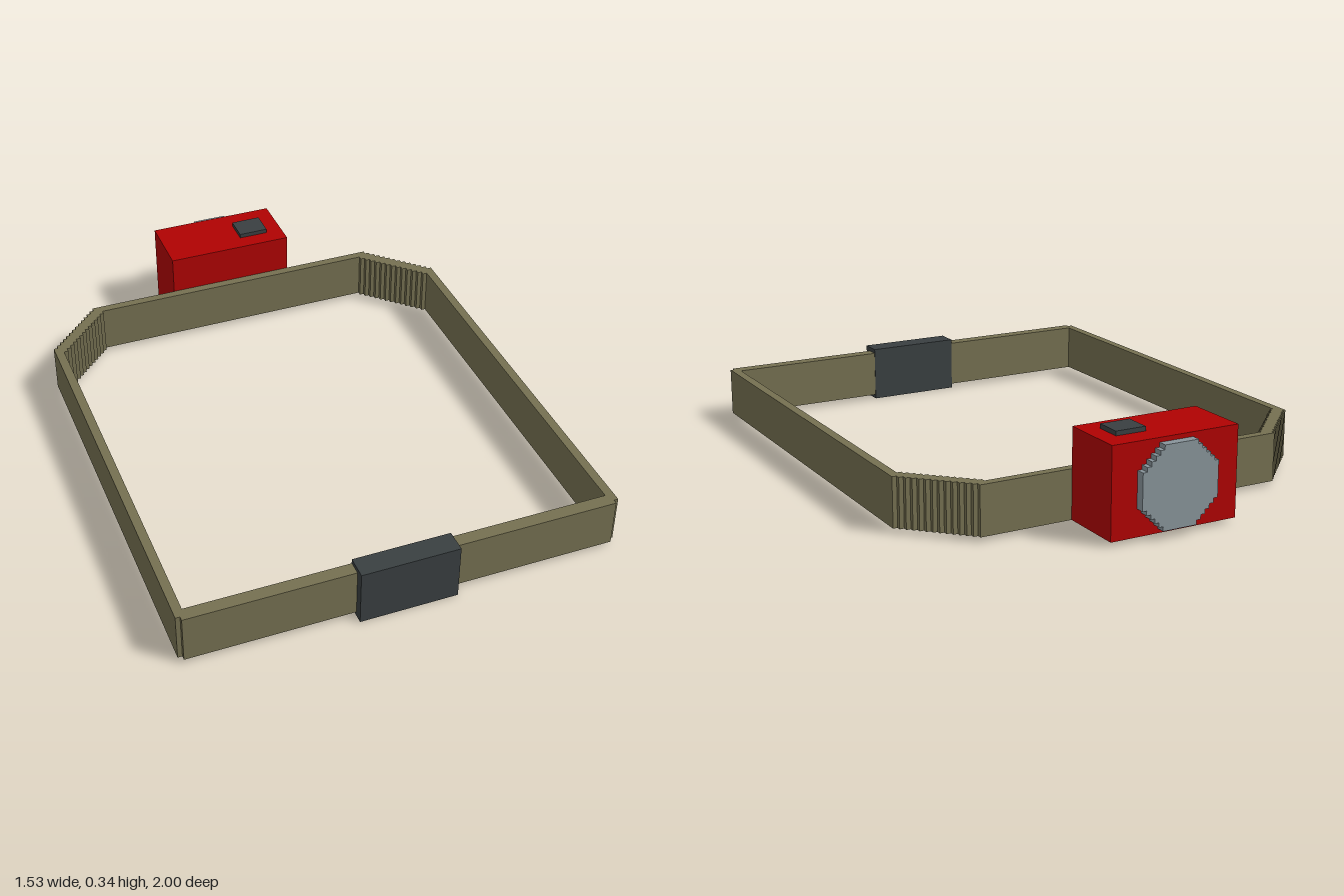
import * as THREE from 'three';

const U = 1 / 64; // the model sits on a grid of 1/64 unit

const material = (name, color) => {
  const m = new THREE.MeshStandardMaterial({ color });
  m.name = name;
  return m;
};

// Corner points of a staircase with n steps, moving in x first and then in y
function stairs(x, y, dx, dy, n) {
  const points = [[x, y]];
  for (let i = 0; i < n; i++) {
    points.push([x + dx, y]);
    x += dx;
    y += dy;
    points.push([x, y]);
  }
  return points;
}

// Closed outline from its right half, mirrored in x
function mirrored(half) {
  const left = half.map(([x, y]) => [-x, y]).reverse();
  return [...half, ...left].map(([x, y]) => new THREE.Vector2(x * U, y * U));
}

export function createModel() {
  const olive = material('olive webbing', 0x757051);
  const red = material('red casing', 0xb00202);
  const dark = material('dark metal', 0x393f41);
  const grey = material('grey lens', 0x88949a);

  const model = new THREE.Group();
  model.name = 'beltWithDevice';

  const add = (name, geometry, mat) => {
    const mesh = new THREE.Mesh(geometry, mat);
    mesh.name = name;
    model.add(mesh);
  };

  // Box between two grid corners
  const box = (name, mat, [x0, y0, z0], [x1, y1, z1]) => {
    const g = new THREE.BoxGeometry((x1 - x0) * U, (y1 - y0) * U, (z1 - z0) * U);
    g.translate((x0 + x1) * U / 2, (y0 + y1) * U / 2, (z0 + z1) * U / 2);
    add(name, g, mat);
  };

  // Belt: a flat loop with stepped rear corners, drawn in x and z.
  // The outline runs anticlockwise and the hole clockwise, so all walls face out.
  const outline = mirrored([[48, 62], [48, 61], [49, 61], ...stairs(49, -34, -1, -1, 13)]);
  const loop = new THREE.Shape(outline.reverse());
  loop.holes.push(new THREE.Path(mirrored([[47, 59], ...stairs(47, -32, -1, -1, 13)])));
  const belt = new THREE.ExtrudeGeometry(loop, { depth: 11 * U, bevelEnabled: false });
  belt.rotateX(Math.PI / 2).translate(0, 12 * U, 0);
  add('belt', belt, olive);

  // Front buckle, just proud of the belt's inner face
  box('buckle', dark, [-11, 0, 58.9], [11, 13, 64]);

  // Device casing at the back, with a button on top
  box('casing', red, [-15, 1, -62], [15, 21, -47]);
  box('button', dark, [4, 21, -57], [11, 22, -51]);

  // Stepped octagonal lens on the rear face
  const corner = stairs(9, 4, -1, 1, 5);
  const lower = corner.map(([x, y]) => [x, -y]).reverse();
  const lensShape = new THREE.Shape(mirrored([...lower, ...corner]));
  const lens = new THREE.ExtrudeGeometry(lensShape, { depth: 2 * U, bevelEnabled: false });
  lens.translate(0, 11 * U, -64 * U);
  add('lens', lens, grey);

  return model;
}
